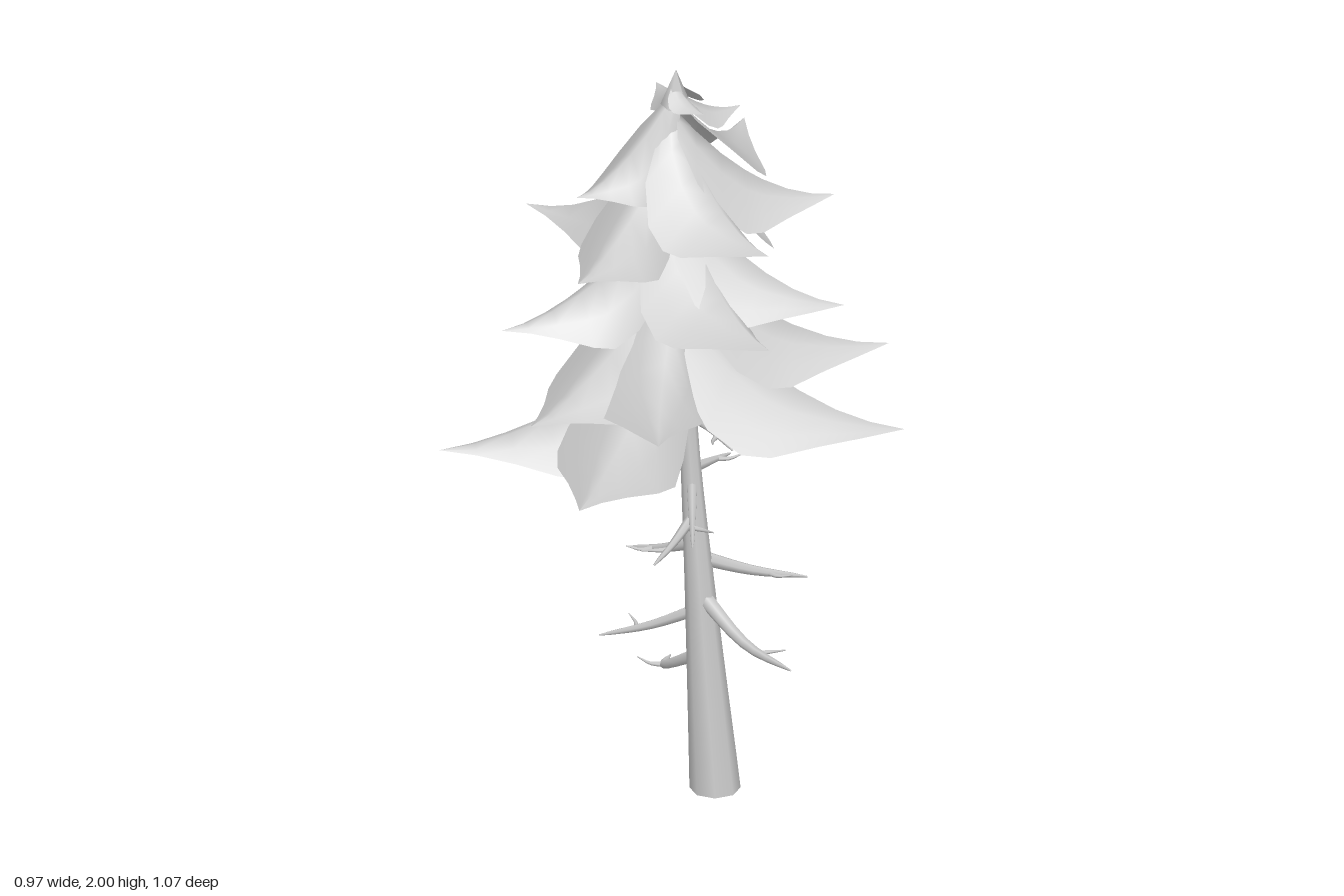
import * as THREE from 'three';

const bark = new THREE.MeshStandardMaterial({ color: 0xcccccc });
bark.name = 'pale grey';
const needles = bark.clone();
needles.name = 'pale grey foliage';
needles.side = THREE.DoubleSide;

// leaning centre line of the trunk
const spine = new THREE.CatmullRomCurve3([
  [0.08, 0, 0.075], [0.08, 0.5, 0.025], [0.08, 1, -0.022], [0.07, 1.5, -0.04], [0.05, 1.97, -0.035],
].map(p => new THREE.Vector3(...p)));

function trunkAt(y) {
  let lo = 0, hi = 1;
  for (let i = 0; i < 20; i++) {
    const m = (lo + hi) / 2;
    if (spine.getPointAt(m).y < y) lo = m; else hi = m;
  }
  return spine.getPointAt(lo);
}

// tube whose radius follows a rule along its length
function taperedTube(curve, segments, sides, radiusAt) {
  const g = new THREE.TubeGeometry(curve, segments, 1, sides, false);
  const pos = g.attributes.position, v = new THREE.Vector3();
  for (let i = 0; i <= segments; i++) {
    const c = curve.getPointAt(i / segments);
    for (let j = 0; j <= sides; j++) {
      const k = i * (sides + 1) + j;
      v.fromBufferAttribute(pos, k).sub(c).multiplyScalar(radiusAt(i / segments)).add(c);
      pos.setXYZ(k, v.x, v.y, v.z);
    }
  }
  return g;
}

// bough: a folded blade with a sharp tip; the clockwise side is wide and
// spreads out, the other side is narrow and hangs down
const along = [0, 0.12, 0.28, 0.43, 0.54, 0.7, 0.85, 1];
const wideSide = { width: [0.35, 0.8, 1, 0.97, 0.82, 0.48, 0.22, 0], drop: [0.2, 0.36, 0.45, 0.44, 0.36, 0.19, 0.08, 0] };
const narrowSide = { width: [0.25, 0.55, 0.8, 1, 0.88, 0.52, 0.22, 0], drop: [0.3, 0.52, 0.62, 0.54, 0.4, 0.2, 0.07, 0] };
const across = [-1, -0.55, 0, 0.35, 0.7, 1];

function boughGeometry(x, y, z, rise) {
  const root = trunkAt(Math.min(y + rise, 1.96));
  const dx = x - root.x, dz = z - root.z, len = Math.hypot(dx, dz);
  const sx = -dz / len, sz = dx / len;
  const wide = Math.min(0.04 + 0.3 * len, 0.42 * len);
  const narrow = Math.min(0.02 + 0.17 * len, 0.25 * len);
  const pts = [], idx = [], n = across.length;
  along.forEach((t, i) => {
    for (const s of across) {
      const side = s > 0 ? wideSide : narrowSide;
      const w = s * side.width[i] * (s > 0 ? wide : narrow) + 0.03 * len * Math.sin(Math.PI * t);
      const drop = side.drop[i] * (root.y - y) * Math.abs(s) ** 1.25;
      pts.push(root.x + dx * t + sx * w,
        y + (root.y - y) * (1 - t) ** 2 - drop,
        root.z + dz * t + sz * w);
    }
    if (i) for (let j = 0; j < n - 1; j++) {
      const a = (i - 1) * n + j, b = i * n + j;
      idx.push(a, a + 1, b, b, a + 1, b + 1);
    }
  });
  const g = new THREE.BufferGeometry();
  g.setAttribute('position', new THREE.Float32BufferAttribute(pts, 3));
  g.setIndex(idx);
  g.computeVertexNormals();
  return g;
}

// tip x, y, z and height of the root above the tip
const boughs = [
  // lowest tier
  [-0.436, 0.967, -0.397, 0.28], [-0.487, 1.007, 0.157, 0.28], [0.304, 1.093, 0.531, 0.3],
  [0.396, 1.08, -0.517, 0.28], [0.35, 1.09, -0.02, 0.25],
  // second tier
  [-0.47, 1.17, -0.037, 0.28], [-0.333, 1.18, 0.286, 0.28], [0.436, 1.225, 0.343, 0.27],
  [0.236, 1.285, -0.54, 0.28],
  // middle tiers
  [-0.375, 1.34, -0.234, 0.28], [-0.047, 1.39, 0.4, 0.28], [0.23, 1.42, 0.389, 0.26],
  [0.325, 1.32, -0.05, 0.25], [0.48, 1.457, -0.243, 0.27], [-0.06, 1.51, -0.463, 0.27],
  // upper tiers
  [-0.35, 1.55, 0.014, 0.26], [-0.01, 1.63, 0.357, 0.25], [0.347, 1.64, 0.237, 0.24],
  [0.436, 1.68, -0.177, 0.23], [-0.246, 1.72, -0.094, 0.22],
  // crown
  [0.15, 1.87, -0.207, 0.12], [0.224, 1.86, 0.023, 0.08], [0.04, 1.915, 0.075, 0.06],
];

// dead branches: tip x, y, z, root height, root radius, sag and sideways bend
const deadBranches = [
  [0.225, 0.217, -0.23, 0.37, 0.018, 0.04, -0.03, -0.055], [-0.02, 0.355, -0.24, 0.49, 0.016, 0.01],
  [0.05, 0.445, 0.378, 0.53, 0.02, 0.035], [0.36, 0.515, 0.125, 0.63, 0.019, 0.01],
  [0.09, 0.567, -0.24, 0.67, 0.016, 0.01], [-0.165, 0.72, 0.1, 0.745, 0.013, 0.008],
  [-0.16, 0.815, 0.235, 0.83, 0.013, 0.008], [0.3, 0.81, -0.09, 0.87, 0.014, 0],
  [0.07, 0.855, -0.235, 0.91, 0.013, 0.01], [0.07, 0.98, 0.15, 1.02, 0.011, -0.01],
  [0.26, 1.02, -0.02, 1.01, 0.011, 0], [-0.08, 1.02, 0.0, 1.02, 0.011, 0],
  [0.17, 1.03, -0.17, 1.02, 0.011, 0],
];

export function createModel() {
  const tree = new THREE.Group();
  tree.name = 'pineTree';
  const add = (name, geometry, material, parent = tree) => {
    const m = new THREE.Mesh(geometry, material);
    m.name = name;
    parent.add(m);
    return m;
  };
  const group = name => {
    const g = new THREE.Group();
    g.name = name;
    tree.add(g);
    return g;
  };

  // trunk, flared at the foot and closed underneath
  const trunk = taperedTube(spine, 24, 8, t => 0.008 + 0.032 * (1 - t) + 0.025 * Math.max(0, 1 - t * 2.2) ** 1.3);
  const p = trunk.attributes.position;
  for (let j = 0; j <= 8; j++) p.setY(j, 0);
  add('trunk', trunk, bark);
  const base = add('trunkBase', new THREE.CircleGeometry(0.064, 8), bark);
  base.rotation.x = Math.PI / 2;
  base.position.set(0.08, 0.001, 0.075);

  // bare lower branches, each with a little hooked twig near its end
  const dead = group('deadBranches');
  deadBranches.forEach(([x, y, z, rootY, r, sag, bendX = 0, bendZ = 0], i) => {
    const a = trunkAt(rootY), b = new THREE.Vector3(x, y, z);
    const mid = a.clone().lerp(b, 0.5).add(new THREE.Vector3(bendX, -sag, bendZ));
    const curve = new THREE.CatmullRomCurve3([a, mid, b]);
    add('deadBranch', taperedTube(curve, 8, 6, t => r * (1 - t) ** 0.7 + 0.002), bark, dead);
    const s = i % 2 ? 1 : -1, dir = b.clone().sub(a).setY(0).normalize();
    const start = curve.getPointAt(0.65);
    const side = new THREE.Vector3(-dir.z * s, 0, dir.x * s);
    const bend = start.clone().addScaledVector(side, 0.03).addScaledVector(dir, 0.015);
    const end = bend.clone().addScaledVector(side, 0.025).addScaledVector(dir, 0.03);
    end.y += 0.008;
    add('twig', taperedTube(new THREE.CatmullRomCurve3([start, bend, end]), 5, 5,
      t => 0.006 * (1 - t) + 0.0015), bark, dead);
  });

  // foliage
  const foliage = group('foliage');
  for (const b of boughs) add('bough', boughGeometry(...b), needles, foliage);
  const tip = add('treeTop', new THREE.ConeGeometry(0.04, 0.1, 5, 1, true), needles, foliage);
  tip.position.set(0.05, 1.95, -0.035);
  return tree;
}
